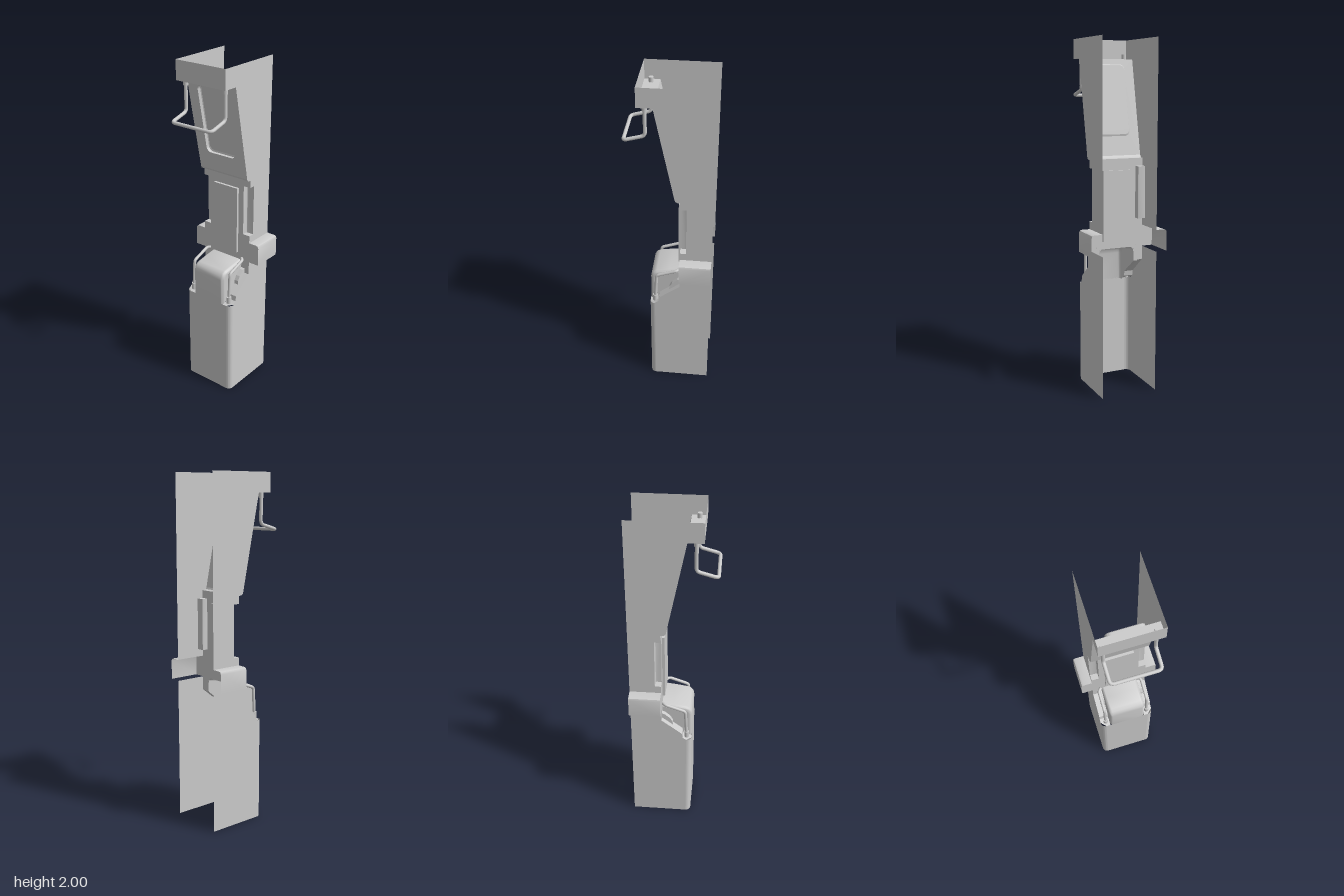
import * as THREE from 'three';
import { toCreasedNormals } from 'three/addons/utils/BufferGeometryUtils.js';

const material = new THREE.MeshStandardMaterial({ color: 0xcccccc, side: THREE.DoubleSide });
const V = (x, y, z) => new THREE.Vector3(x, y, z);

export function createModel() {
  const model = new THREE.Group();
  const add = (name, geometry) => {
    const mesh = new THREE.Mesh(geometry, material);
    mesh.name = name;
    model.add(mesh);
    return mesh;
  };

  // Surface through rows of points, each row having the same count
  const loft = (rows) => {
    const n = rows[0].length, index = [];
    for (let r = 0; r < rows.length - 1; r++)
      for (let i = 0; i < n - 1; i++) {
        const a = r * n + i, b = a + n;
        index.push(a, b, a + 1, a + 1, b, b + 1);
      }
    const g = new THREE.BufferGeometry().setFromPoints(rows.flat());
    g.setIndex(index);
    return toCreasedNormals(g, 0.6);
  };
  // Folded sheet: an x,y profile carried from z0 to z1
  const sheet = (profile, z0, z1) =>
    loft([z0, z1].map((z) => profile.map(([x, y]) => V(x, y, z))));
  const polygon = (points) => new THREE.Shape(points.map(([x, y]) => new THREE.Vector2(x, y)));
  // Flat plate in x,y at depth z
  const plateZ = (points, z) => new THREE.ShapeGeometry(polygon(points)).translate(0, 0, z);
  // Plate outlined in z,y whose x follows a rule
  const plateX = (shape, xAt) => {
    const g = new THREE.ShapeGeometry(shape, 6), p = g.attributes.position;
    for (let i = 0; i < p.count; i++) p.setXYZ(i, xAt(p.getY(i)), p.getY(i), p.getX(i));
    g.computeVertexNormals();
    return g;
  };
  const roundedRect = (w, y0, y1, r) => {
    const s = new THREE.Shape();
    s.absarc(w - r, y0 + r, r, -Math.PI / 2, 0);
    s.absarc(w - r, y1 - r, r, 0, Math.PI / 2);
    s.absarc(-w + r, y1 - r, r, Math.PI / 2, Math.PI);
    s.absarc(-w + r, y0 + r, r, Math.PI, Math.PI * 1.5);
    s.closePath();
    return s;
  };
  // Rod with rounded bends
  const rod = (points, radius, bend) => {
    const path = new THREE.CurvePath();
    let last = points[0];
    for (let i = 1; i < points.length - 1; i++) {
      const p = points[i];
      const a = p.clone().add(points[i - 1].clone().sub(p).setLength(bend));
      const b = p.clone().add(points[i + 1].clone().sub(p).setLength(bend));
      path.add(new THREE.LineCurve3(last, a));
      path.add(new THREE.QuadraticBezierCurve3(a, p, b));
      last = b;
    }
    path.add(new THREE.LineCurve3(last, points.at(-1)));
    return new THREE.TubeGeometry(path, 90, radius, 12);
  };

  const W = 0.165;

  // Top lip and its underside
  add('topLip', sheet([[-0.16, 2], [-0.16, 1.89], [-0.075, 1.89]], -W, W));

  // Sloping panel with a rounded recess
  const slopeX = (y) => -0.075 + (1.89 - y) * 0.11 / 0.54;
  const slope = polygon([[-W, 1.35], [W, 1.35], [W, 1.89], [-W, 1.89]]);
  const recess = roundedRect(0.1, 1.46, 1.86, 0.03);
  slope.holes.push(recess);
  add('slopingPanel', plateX(slope, slopeX));
  const inner = roundedRect(0.096, 1.47, 1.856, 0.027);
  add('recessFace', plateX(inner, (y) => slopeX(y) + 0.025));
  const ring = (s, dx) => s.getPoints(6).map((p) => V(slopeX(p.y) + dx, p.y, p.x));
  add('recessRim', loft([ring(recess, 0), ring(recess, 0.021), ring(inner, 0.025)]));
  add('slopeStep', sheet([[0.035, 1.35], [0.04, 1.34], [0.05, 1.335], [0.065, 1.335]], -W, W));

  // Middle wall, notched at the corners and arched over the hump
  const half = [[0.09, 0.82], [0.105, 0.81], [0.11, 0.79], [0.11, 0.74], [W, 0.74],
    [W, 0.99], [0.12, 0.99], [0.12, 1.29], [W, 1.29], [W, 1.335]];
  const mirrored = half.map(([z, y]) => [-z, y]).reverse();
  add('middleWall', plateX(polygon([...half, ...mirrored]), () => 0.065));
  add('middlePanel', new THREE.BoxGeometry(0.025, 0.405, 0.17)).position.set(0.0625, 1.067, 0);

  // Lower wall
  add('lowerWall', sheet([[-0.11, 0], [-0.11, 0.595]], -W + 0.03, W - 0.03));

  // Rounded hump above the lower wall
  const crest = [[-0.11, 0.59], [-0.11, 0.75], [-0.106, 0.772], [-0.094, 0.79],
    [-0.075, 0.8], [0.0, 0.812], [0.065, 0.82]];
  const inset = (d) => crest.map(([x, y], i) => {
    const [ax, ay] = crest[Math.max(i - 1, 0)], [bx, by] = crest[Math.min(i + 1, crest.length - 1)];
    const l = Math.hypot(bx - ax, by - ay);
    return [x + d * (by - ay) / l, y - d * (bx - ax) / l];
  });
  const rows = [];
  for (let i = 0; i <= 12; i++) {
    const s = i < 6 ? -1 : 1, a = (i < 6 ? i / 5 : (12 - i) / 6) * Math.PI / 2;
    const z = s * (0.09 + 0.02 * Math.cos(a));
    rows.push(inset(0.02 * (1 - Math.sin(a))).map(([x, y]) => V(x, y, z)));
  }
  add('hump', loft(rows));

  // Parts mirrored on both sides
  for (const s of [-1, 1]) {
    const side = s > 0 ? 'Front' : 'Back';
    const z = s * W;

    add('upperSideWall' + side, plateZ([[-0.16, 2], [-0.16, 1.89], [-0.075, 1.89], [0.035, 1.35],
      [0.04, 1.34], [0.05, 1.335], [0.065, 1.335], [0.065, 1.29], [0.1, 1.29], [0.1, 0.99],
      [0.065, 0.99], [0.065, 0.945], [0.245, 0.945], [0.245, 2]], z));
    add('lowerSideWall' + side, plateZ([[-0.08, 0], [0.245, 0], [0.245, 0.82], [0.065, 0.82],
      [0.065, 0.74], [0, 0.69], [-0.055, 0.645], [-0.06, 0.615], [-0.08, 0.6]], z));

    // Rounded vertical corner of the lower wall
    const corner = [];
    for (let i = 0; i <= 8; i++) {
      const a = i / 8 * Math.PI / 2;
      corner.push([-0.08 - 0.03 * Math.cos(a), s * (W - 0.03 + 0.03 * Math.sin(a))]);
    }
    add('lowerCorner' + side, loft([0, 0.597].map((y) => corner.map(([x, cz]) => V(x, y, cz)))));

    // Corner notch beside the middle panel
    const notch = [[0.065, 0.12], [0.093, 0.12], [0.098, 0.122], [0.1, 0.127], [0.1, W]];
    add('notch' + side, loft([0.99, 1.29].map((y) => notch.map(([x, nz]) => V(x, y, s * nz)))));
    for (const y of [0.99, 1.29])
      add('notchEnd' + side, loft([0.12, W].map((nz) => [V(0.065, y, s * nz), V(0.1, y, s * nz)])));

    // Side bracket: bent channel with an end cap
    const bend = [[0.945, W], [0.945, 0.215], [0.9405, 0.2255], [0.93, 0.23], [0.82, 0.23]];
    add('bracket' + side, loft([0.065, 0.245].map((x) => bend.map(([y, bz]) => V(x, y, s * bz)))));
    add('bracketEnd' + side,
      plateX(polygon([...bend, [0.82, W]].map(([y, bz]) => [s * bz, y])), () => 0.065));

    // Sloped ledge beside the hump, and the hump's side
    add('ledge' + side, loft([
      [V(-0.11, 0.595, s * 0.11), V(-0.11, 0.595, s * 0.135)],
      [V(-0.08, 0.6, s * 0.11), V(-0.08, 0.6, z)],
      [V(-0.06, 0.615, s * 0.11), V(-0.06, 0.615, z)],
      [V(-0.055, 0.645, s * 0.11), V(-0.055, 0.645, z)],
      [V(0.065, 0.74, s * 0.11), V(0.065, 0.74, z)]]));
    add('humpSide' + side, plateZ([...inset(0.02), [0.065, 0.74], [-0.055, 0.645],
      [-0.06, 0.615], [-0.09, 0.595]], s * 0.11));

    // Rounded boss on the ledge
    const boss = polygon([[0, 0.685], [0.003, 0.71], [0.018, 0.737], [0.05, 0.765],
      [0.065, 0.77], [0.065, 0.735]]);
    add('boss' + side, new THREE.ExtrudeGeometry(boss, { depth: 0.025, bevelEnabled: false }))
      .position.z = s > 0 ? 0.11 : -0.135;

    // Lower grab rod and its socket
    const rz = s * 0.133;
    add('grabRod' + side, rod([V(-0.082, 0.6, rz), V(-0.072, 0.79, rz), V(0.045, 0.832, rz),
      V(0.06, 0.832, s * 0.115)], 0.009, 0.015));
    add('rodSocket' + side, new THREE.CylinderGeometry(0.014, 0.014, 0.04, 16))
      .position.set(-0.081, 0.622, rz);

    // Collar and bolt of the upper handle
    add('handleCollar' + side, new THREE.CylinderGeometry(0.014, 0.014, 0.03, 16))
      .position.set(-0.12, 1.876, s * 0.133);
    add('handleBolt' + side, new THREE.CylinderGeometry(0.013, 0.013, 0.03, 16))
      .position.set(-0.12, 1.902, s * 0.133);
  }

  // Upper handle
  add('upperHandle', rod([V(-0.12, 1.89, -0.133), V(-0.12, 1.718, -0.133), V(-0.235, 1.686, -0.133),
    V(-0.235, 1.686, 0.133), V(-0.12, 1.718, 0.133), V(-0.12, 1.89, 0.133)], 0.01, 0.022));

  return model;
}
